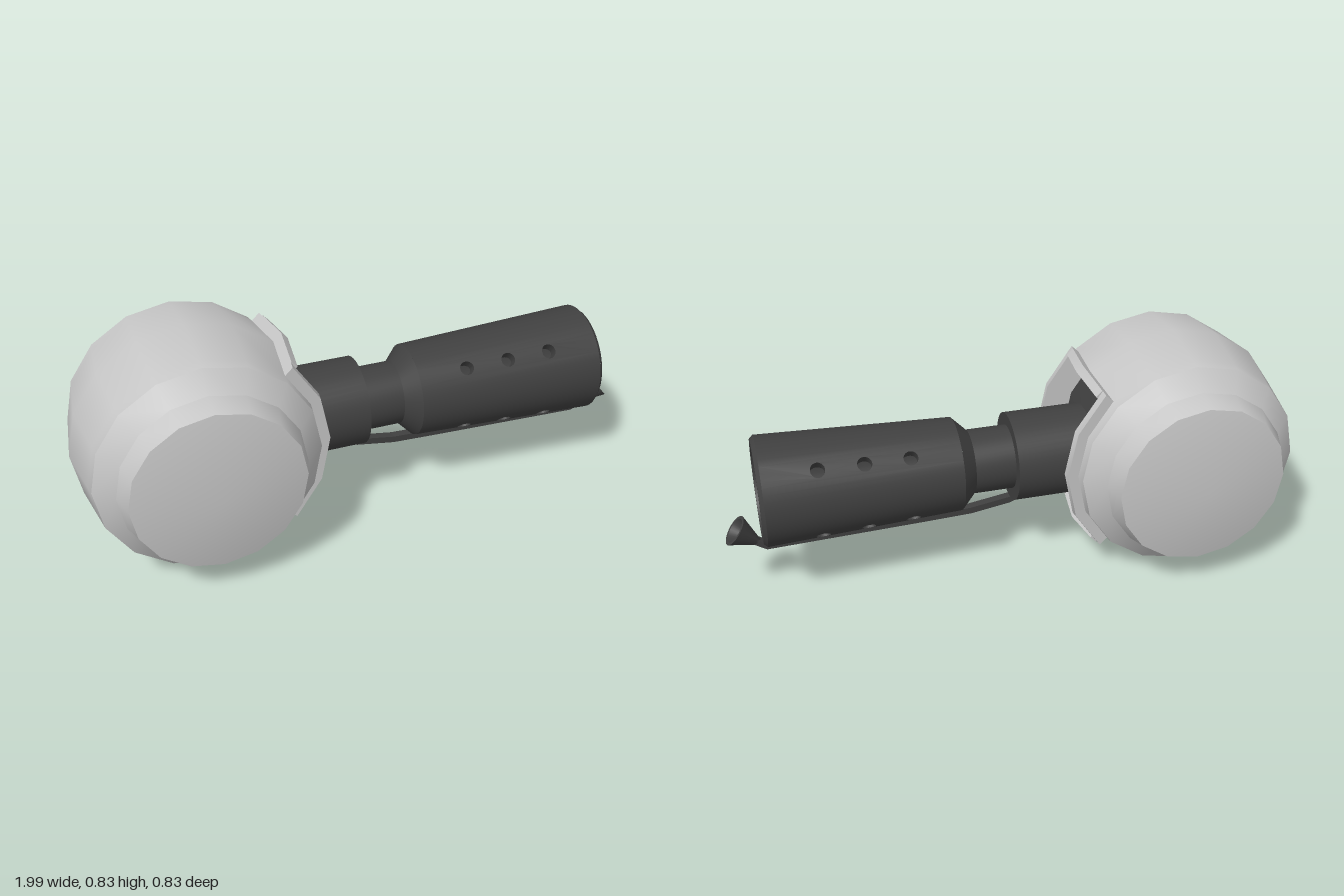
import * as THREE from 'three';
import { mergeGeometries, toCreasedNormals } from 'three/addons/utils/BufferGeometryUtils.js';

const CX = -0.585, CY = 0.417, DEG = Math.PI / 180;
const SHROUD = [0.19, 0.86]; // x range of the perforated shroud

// Outer radius of the drum at depth z
const drumR = (z) => 0.415 - 0.142 * Math.abs(z);
const vecs = (pts) => pts.map(([r, h]) => new THREE.Vector2(r, h));

// Lathe about z (drum) or x (barrel); angles in degrees
function lathe(pts, axis, segs, start = 0, sweep = 360) {
  const g = new THREE.LatheGeometry(vecs(pts), segs, start * DEG, sweep * DEG);
  if (axis === 'z') return g.rotateX(Math.PI / 2).translate(CX, CY, 0);
  return g.rotateZ(-Math.PI / 2).translate(0, CY, 0);
}

// Merge pieces into one surface with smooth normals and sharp edges
function join(parts, crease = 28) {
  const flat = parts.map((g) => {
    const n = g.index ? g.toNonIndexed() : g;
    n.deleteAttribute('uv');
    n.deleteAttribute('normal');
    return n;
  });
  return toCreasedNormals(mergeGeometries(flat), crease * DEG);
}

// Solid block that follows the drum surface over given depths and angles
function arcBlock(zs, angles, inner, outer) {
  const prof = vecs([
    ...zs.map((z) => [drumR(z) + outer, z]),
    ...[...zs].reverse().map((z) => [drumR(z) + inner, z]),
  ]);
  const n = prof.length, pos = [], idx = [];
  for (const a of angles)
    for (const p of prof) pos.push(CX + p.x * Math.cos(a * DEG), CY + p.x * Math.sin(a * DEG), p.y);
  for (let s = 0; s < angles.length - 1; s++)
    for (let i = 0; i < n; i++) {
      const j = (i + 1) % n, a = s * n, b = a + n;
      idx.push(a + j, a + i, b + i, a + j, b + i, b + j);
    }
  const last = (angles.length - 1) * n;
  for (const [a, b, c] of THREE.ShapeUtils.triangulateShape(prof, []))
    idx.push(a, b, c, last + a, last + c, last + b);
  const g = new THREE.BufferGeometry();
  g.setAttribute('position', new THREE.Float32BufferAttribute(pos, 3));
  g.setIndex(idx);
  return g;
}

// Curved shroud plate with three round holes, bent around the barrel axis
function holedPlate(centre) {
  const h = 11.25 * DEG, [x0, x1] = SHROUD;
  const ang = [-h, -h / 3, h / 3, h];
  const shape = new THREE.Shape(vecs([
    ...ang.map((a) => [x1, a]),
    ...[...ang].reverse().map((a) => [x0, a]),
  ]));
  for (const x of [0.365, 0.52, 0.675]) {
    const hole = new THREE.Path();
    hole.absellipse(x, 0, 0.025, 0.025 / 0.175, 0, Math.PI * 2, true);
    shape.holes.push(hole);
  }
  const g = new THREE.ExtrudeGeometry(shape, { depth: 1, bevelEnabled: false, curveSegments: 10 });
  const p = g.attributes.position;
  for (let i = 0; i < p.count; i++) {
    const x = p.getX(i), a = p.getY(i) + centre * DEG, t = (x - x0) / (x1 - x0);
    const r = THREE.MathUtils.lerp(0.126 + 0.022 * t, 0.163 + 0.027 * t, p.getZ(i));
    p.setXYZ(i, x, CY + r * Math.sin(a), r * Math.cos(a));
  }
  return g;
}

export function createModel() {
  const model = new THREE.Group();
  const light = new THREE.MeshStandardMaterial({ color: 0xc6c6c6 });
  light.name = 'light grey';
  const dark = new THREE.MeshStandardMaterial({ color: 0x404040 });
  dark.name = 'dark grey';
  const add = (name, geo, mat) => {
    const m = new THREE.Mesh(geo, mat);
    m.name = name;
    model.add(m);
    return m;
  };

  // Drum housing: two domed sides and a middle band open towards +x
  const W = 0.19;
  const side = [[drumR(W), W], [0.383, 0.225], [0.316, 0.283], [0.293, 0.358], [0, 0.415]];
  const mirrored = side.map(([r, z]) => [r, -z]).reverse();
  const band = (d) => [[drumR(W) + d, -W], [drumR(0) + d, 0], [drumR(W) + d, W]];
  add('drumHousing', join([
    lathe(side, 'z', 16),
    lathe(mirrored, 'z', 16),
    lathe(band(0), 'z', 12, 135, 270),
  ]), light);

  // Recessed dark floor of the opening
  add('openingFloor', join([lathe(band(-0.06), 'z', 4, 45, 90)]), dark);

  // Raised frame around the opening
  const arc = [-45, -22.5, 0, 22.5, 45], I = 0.163;
  add('openingFrame', join([
    arcBlock([I, W], arc, -0.07, 0.037),
    arcBlock([-W, -I], arc, -0.07, 0.037),
    arcBlock([-I, 0, I], [41, 45], -0.07, 0.04),
    arcBlock([-I, 0, I], [-45, -41], -0.07, 0.04),
  ]), light);

  // Barrel root, neck and flare
  add('barrelNeck', join([lathe([
    [0, -0.32], [0.155, -0.32], [0.155, 0], [0.112, 0], [0.112, 0.14], [0.163, SHROUD[0]],
  ], 'x', 48)]), dark);

  // Hollow shroud with four rows of holes, a bevelled muzzle and an inner end wall
  const shroud = [
    lathe([[0.19, 0.86], [0.178, 0.873], [0.15, 0.873], [0.148, 0.86]], 'x', 48),
    lathe([[0.126, 0.192], [0, 0.192]], 'x', 48),
  ];
  for (const a of [45, 135, 225, 315]) {
    shroud.push(holedPlate(a));
    shroud.push(lathe([[0.163, 0.19], [0.19, 0.86]], 'x', 9, a + 11.25, 67.5));
    shroud.push(lathe([[0.148, 0.86], [0.126, 0.19]], 'x', 9, a + 11.25, 67.5));
  }
  add('barrelShroud', join(shroud), dark);

  // Thin strap running below the barrel
  const path = [[-0.045, 0.262], [0, 0.244], [0.14, 0.222], [0.3, 0.216], [0.86, 0.199], [0.905, 0.228]];
  const strap = new THREE.Shape(vecs([
    ...path.map(([x, y]) => [x, y - 0.012]),
    ...[...path].reverse().map(([x, y]) => [x, y + 0.012]),
  ]));
  add('lowerStrap', new THREE.ExtrudeGeometry(strap, { depth: 0.03, bevelEnabled: false })
    .translate(0, 0, -0.015), dark);

  // Hollow funnel at the end of the strap
  const funnel = add('funnelTip', join([new THREE.LatheGeometry(vecs([
    [0, 0], [0.012, 0], [0.055, 0.095], [0.044, 0.095], [0, 0.02],
  ]), 24)]), dark);
  funnel.position.set(0.886, 0.214, 0);
  funnel.rotation.z = -51 * DEG;

  return model;
}
